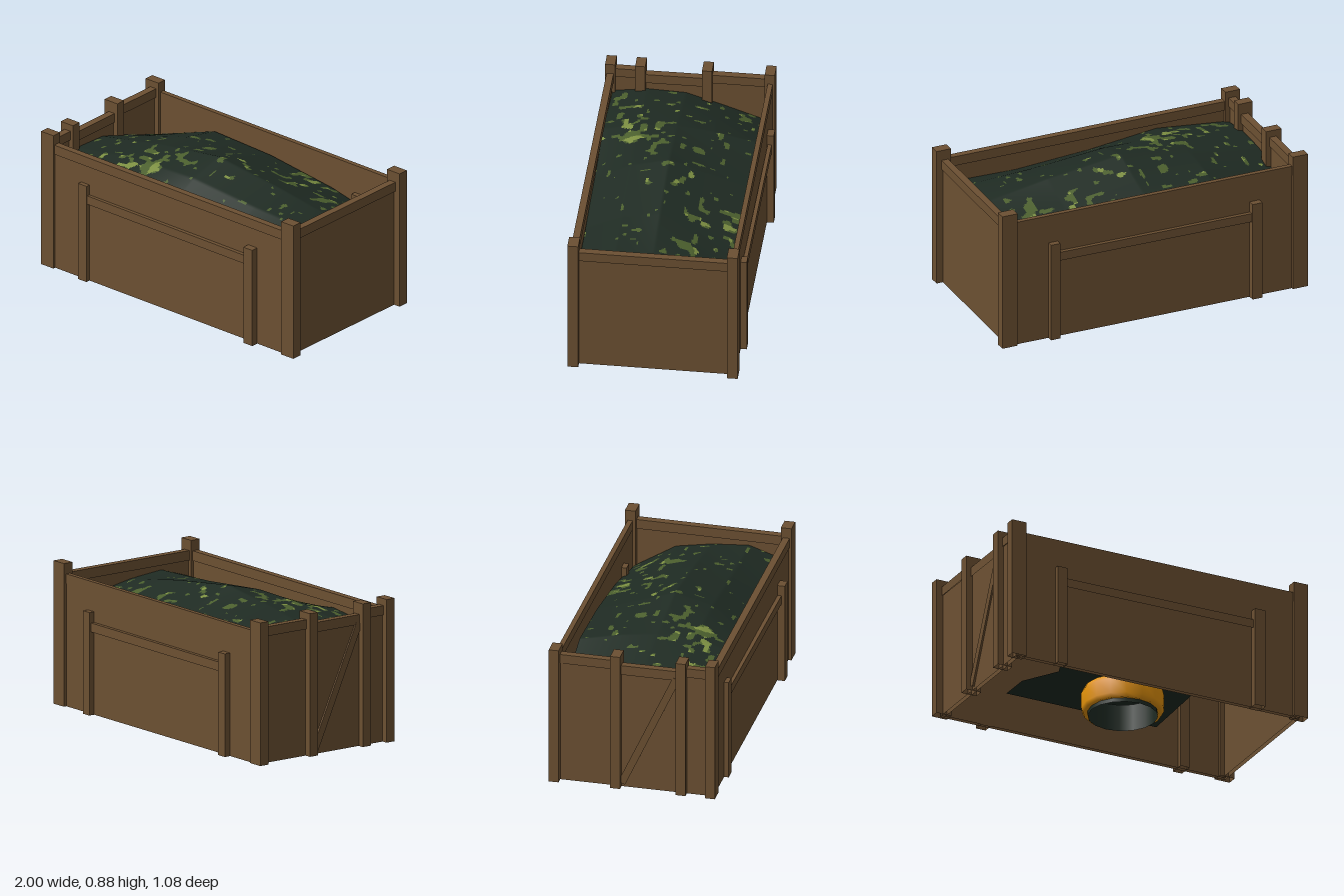
import * as THREE from 'three';

const mat = (name, color) => {
  const m = new THREE.MeshStandardMaterial({ color, side: THREE.DoubleSide });
  m.name = name;
  return m;
};

export function createModel() {
  const wood = mat('brown wood', 0x6c5032);
  const dark = mat('dark green', 0x1f2b23);
  const moss = mat('moss green', 0x4c602e);
  const lime = mat('light green', 0x7d9042);
  const orange = mat('orange', 0xec980c);
  const model = new THREE.Group();

  const add = (name, geometry, material, parent = model) => {
    const mesh = new THREE.Mesh(geometry, material);
    mesh.name = name;
    parent.add(mesh);
    return mesh;
  };
  const group = (name) => {
    const g = new THREE.Group();
    g.name = name;
    model.add(g);
    return g;
  };

  // Timber without a bottom face (the fourth side of the box)
  const timber = (w, h, d) => {
    const g = new THREE.BoxGeometry(w, h, d);
    g.setIndex([...g.index.array].filter((_, i) => i < 18 || i > 23));
    g.clearGroups();
    return g;
  };

  // Upright post given by its footprint
  const post = (name, x0, x1, z0, z1, h, parent) =>
    add(name, timber(x1 - x0, h, z1 - z0), wood, parent)
      .position.set((x0 + x1) / 2, h / 2, (z0 + z1) / 2);

  // Board running between two plan points [x, z], from height y0 to y1
  const board = (name, a, b, y0, y1, thick, parent) => {
    const dx = b[0] - a[0], dz = b[1] - a[1];
    const m = add(name, timber(Math.hypot(dx, dz), y1 - y0, thick), wood, parent);
    m.position.set((a[0] + b[0]) / 2, (y0 + y1) / 2, (a[1] + b[1]) / 2);
    m.rotation.y = -Math.atan2(dz, dx);
  };

  // Corner posts
  const corners = group('cornerPosts');
  [[-1, -0.9, -0.515, -0.455], [0.9, 1, -0.505, -0.44],
    [-1, -0.905, 0.44, 0.5], [0.89, 0.985, 0.45, 0.515]]
    .forEach((c) => post('cornerPost', ...c, 0.875, corners));

  // Front, back and plain end: thin panel with a thicker top rail
  const wall = (name, a, b, thick) => {
    const g = group(name);
    board('panel', a, b, 0, 0.78, 0.026, g);
    board('topRail', a, b, 0.75, 0.81, thick, g);
    return g;
  };
  const front = wall('frontWall', [-0.95, 0.47], [0.94, 0.483], 0.042);
  const back = wall('backWall', [-0.95, -0.488], [0.95, -0.473], 0.03);
  wall('plainEnd', [0.944, -0.48], [0.93, 0.48], 0.045);

  // Short posts and rail on both long sides
  post('shortPost', -0.7, -0.635, 0.46, 0.513, 0.63, front);
  post('shortPost', 0.615, 0.685, 0.465, 0.54, 0.63, front);
  board('sideRail', [-0.66, 0.493], [0.65, 0.508], 0.51, 0.565, 0.024, front);
  post('shortPost', -0.69, -0.625, -0.54, -0.48, 0.63, back);
  post('shortPost', 0.63, 0.69, -0.525, -0.43, 0.63, back);
  board('sideRail', [-0.66, -0.516], [0.66, -0.501], 0.51, 0.565, 0.024, back);

  // Gate end with two middle posts and a diagonal brace
  const gate = group('gateEnd');
  board('panel', [-0.942, -0.48], [-0.95, 0.48], 0, 0.78, 0.026, gate);
  post('gatePost', -1, -0.9, -0.14, -0.08, 0.875, gate);
  post('gatePost', -1, -0.905, 0.26, 0.32, 0.875, gate);
  board('endRail', [-0.94, -0.48], [-0.945, -0.11], 0.775, 0.833, 0.045, gate);
  board('endRail', [-0.947, 0.29], [-0.95, 0.48], 0.775, 0.833, 0.045, gate);
  board('gateRail', [-0.945, -0.1], [-0.947, 0.28], 0.745, 0.805, 0.045, gate);
  const brace = add('gateBrace', timber(0.03, 0.8, 0.045), wood, gate);
  brace.position.set(-0.956, 0.39, 0.09);
  brace.rotation.x = Math.atan2(0.33, 0.72);

  // Filling: height is interpolated over a coarse grid
  const xs = [-0.93, -0.46, -0.02, 0.46, 0.925];
  const zs = [-0.455, -0.2, 0.02, 0.25, 0.465];
  const heights = [
    [0.53, 0.695, 0.675, 0.61, 0.5],
    [0.62, 0.75, 0.76, 0.70, 0.66],
    [0.69, 0.78, 0.84, 0.78, 0.70],
    [0.70, 0.77, 0.78, 0.74, 0.72],
    [0.67, 0.72, 0.67, 0.64, 0.65],
  ];
  const locate = (list, v) => {
    let i = 0;
    while (i < list.length - 2 && v > list[i + 1]) i++;
    return [i, (v - list[i]) / (list[i + 1] - list[i])];
  };
  const lerp = THREE.MathUtils.lerp;
  const heightAt = (x, z) => {
    const [i, u] = locate(xs, x), [j, v] = locate(zs, z);
    const row = (k) => lerp(heights[k][i], heights[k][i + 1], u);
    return lerp(row(j), row(j + 1), v);
  };

  // Seeded smooth noise for the leafy spots
  const hash = (i, j) => {
    const s = Math.sin(i * 127.1 + j * 311.7 + 4.3) * 43758.5453;
    return s - Math.floor(s);
  };
  const noise = (x, z) => {
    const i = Math.floor(x), j = Math.floor(z);
    const u = THREE.MathUtils.smoothstep(x - i, 0, 1), v = THREE.MathUtils.smoothstep(z - j, 0, 1);
    return lerp(lerp(hash(i, j), hash(i + 1, j), u), lerp(hash(i, j + 1), hash(i + 1, j + 1), u), v);
  };
  // Spot clusters: x, z, radius, strength
  const clusters = [[-0.38, 0.22, 0.2, 1], [-0.55, 0.36, 0.16, 0.8], [0.38, -0.32, 0.2, 1], [0.1, -0.02, 0.18, 0.75],
    [-0.87, -0.3, 0.17, 0.7], [-0.75, 0.4, 0.15, 0.75], [0.83, 0.4, 0.12, 0.85], [0.75, -0.32, 0.2, 0.7],
    [0.7, -0.12, 0.15, 0.55], [-0.3, -0.2, 0.18, 0.5], [-0.85, 0.05, 0.2, 0.45], [0.53, 0.15, 0.1, 0.5]];
  const density = (x, z) => clusters.reduce((d, [cx, cz, r, s]) =>
    Math.max(d, s * Math.exp(-((x - cx) ** 2 + (z - cz) ** 2) / (r * r))), 0);

  const nx = 210, nz = 105;
  const mound = new THREE.PlaneGeometry(1.855, 0.92, nx, nz).rotateX(-Math.PI / 2).translate(-0.0025, 0, 0.005);
  const p = mound.attributes.position;
  for (let k = 0; k < p.count; k++) p.setY(k, heightAt(p.getX(k), p.getZ(k)));
  mound.computeVertexNormals();
  const faces = [[], [], []];
  for (let j = 0; j < nz; j++) {
    for (let i = 0; i < nx; i++) {
      const a = j * (nx + 1) + i, c = a + nx + 1;
      const x = p.getX(a), z = p.getZ(a), d = density(x, z);
      const spot = noise(x * 24, z * 24) + 0.43 * d;
      const tone = spot < 0.93 ? 0 : noise(x * 22 + 40, z * 22) + 0.1 * d > 0.82 ? 2 : 1;
      faces[tone].push(a, c, a + 1, c, c + 1, a + 1);
    }
  }
  mound.setIndex(faces.flat());
  mound.clearGroups();
  let start = 0;
  faces.forEach((f, k) => {
    mound.addGroup(start, f.length, k);
    start += f.length;
  });
  add('leafyFilling', mound, [dark, moss, lime]);

  // Underside of the filling, seen through the open bottom
  const under = new THREE.Shape([[0.42, 0.18], [-0.59, 0.4], [-0.43, 0.02], [-0.56, -0.2], [-0.56, -0.4], [0.45, -0.4]]
    .map(([x, z]) => new THREE.Vector2(x, z)));
  add('fillingUnderside', new THREE.ShapeGeometry(under).rotateX(Math.PI / 2), dark).position.y = 0.2;

  // Rounded ring and inner sleeve beneath the filling
  const profile = [[0.21, 0.025], [0.235, 0.02], [0.248, 0.045], [0.248, 0.14], [0.235, 0.17], [0.21, 0.17]]
    .map(([r, y]) => new THREE.Vector2(r, y));
  add('ring', new THREE.LatheGeometry(profile, 16), orange).position.z = 0.02;
  add('sleeve', new THREE.CylinderGeometry(0.209, 0.209, 0.17, 16, 1, true), dark).position.set(0, 0.085, 0.02);
  return model;
}
